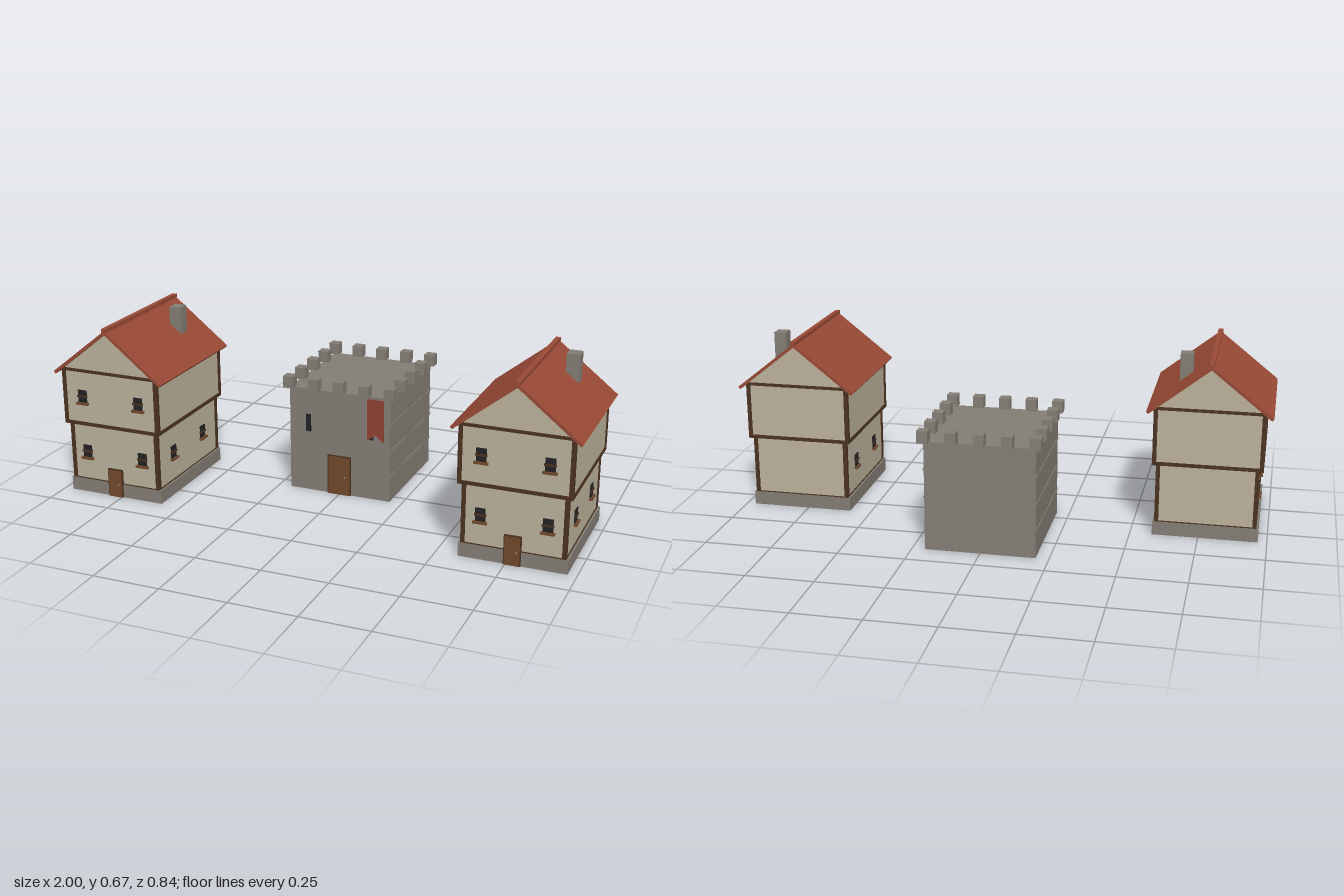
import * as THREE from 'three';

const mat = (name, color) => {
  const m = new THREE.MeshStandardMaterial({ color });
  m.name = name;
  return m;
};

export function createModel() {
  const plaster = mat('plaster', 0xbab09a);
  const timber = mat('darkTimber', 0x4a3220);
  const wood = mat('doorWood', 0x70482a);
  const stone = mat('stone', 0x827d74);
  const tiles = mat('redTiles', 0x984935);
  const dark = mat('darkOpening', 0x222224);
  const banner = mat('bannerRed', 0x8e4030);
  banner.side = THREE.DoubleSide;

  const add = (parent, name, geo, material, x = 0, y = 0, z = 0) => {
    const m = new THREE.Mesh(geo, material);
    m.name = name;
    m.position.set(x, y, z);
    parent.add(m);
    return m;
  };
  // Box given by its centre in x and z and its bottom in y
  const box = (parent, name, material, w, h, d, x, y, z) =>
    add(parent, name, new THREE.BoxGeometry(w, h, d), material, x, y + h / 2, z);

  // Window facing +z, standing on y = 0
  const makeWindow = (parent, x, y, z, turn) => {
    const g = new THREE.Group();
    g.name = 'window';
    box(g, 'windowPane', dark, 0.036, 0.05, 0.006, 0, 0, 0.001);
    box(g, 'windowBar', timber, 0.042, 0.007, 0.01, 0, 0.022, 0.002);
    box(g, 'windowSill', wood, 0.05, 0.008, 0.018, 0, -0.006, 0.003);
    g.position.set(x, y, z);
    g.rotation.y = turn;
    parent.add(g);
  };

  const makeDoor = (parent, w, h, z) => {
    box(parent, 'doorFrame', timber, w, h, 0.008, 0, 0, z);
    box(parent, 'door', wood, w - 0.008, h - 0.004, 0.012, 0, 0, z);
    add(parent, 'doorKnob', new THREE.SphereGeometry(0.004, 8, 6), stone, w * 0.25, h * 0.46, z + 0.008);
  };

  // Plastered storey with corner posts and beams top and bottom
  const makeStorey = (parent, name, hx, hz, y0, y1, beam) => {
    const g = new THREE.Group();
    g.name = name;
    box(g, 'wall', plaster, 2 * hx - 0.008, y1 - y0, 2 * hz - 0.008, 0, y0, 0);
    for (const sx of [-1, 1])
      for (const sz of [-1, 1])
        box(g, 'cornerPost', timber, 0.015, y1 - y0, 0.016, sx * (hx - 0.0075), y0, sz * (hz - 0.008));
    for (const [y, h] of beam) {
      for (const s of [-1, 1]) {
        box(g, 'crossBeam', timber, 2 * hx, h, 0.012, 0, y, s * (hz - 0.006));
        box(g, 'sideBeam', timber, 0.012, h, 2 * hz, s * (hx - 0.006), y, 0);
      }
    }
    parent.add(g);
  };

  const makeHouse = (x) => {
    const g = new THREE.Group();
    g.name = 'house';
    box(g, 'stoneBase', stone, 0.386, 0.052, 0.482, 0, 0, 0);
    makeStorey(g, 'lowerStorey', 0.186, 0.24, 0.05, 0.28, [[0.048, 0.007]]);
    makeStorey(g, 'upperStorey', 0.2, 0.252, 0.274, 0.492, [[0.274, 0.013], [0.484, 0.011]]);

    // Gable wall running through the loft
    const gable = new THREE.Shape();
    gable.moveTo(-0.195, 0.49);
    gable.lineTo(0.195, 0.49);
    gable.lineTo(0, 0.648);
    const gableGeo = new THREE.ExtrudeGeometry(gable, { depth: 0.496, bevelEnabled: false });
    add(g, 'gable', gableGeo, plaster, 0, 0, -0.248);

    // Two roof slabs and the ridge cap
    for (const s of [-1, 1]) {
      const slope = new THREE.Shape();
      slope.moveTo(0, 0.659);
      slope.lineTo(s * 0.226, 0.48);
      slope.lineTo(s * 0.219, 0.471);
      slope.lineTo(0, 0.645);
      add(g, 'roofSlope', new THREE.ExtrudeGeometry(slope, { depth: 0.532, bevelEnabled: false }), tiles, 0, 0, -0.266);
    }
    box(g, 'ridgeCap', tiles, 0.018, 0.014, 0.536, 0, 0.653, 0);
    box(g, 'chimney', stone, 0.047, 0.13, 0.048, 0.097, 0.537, -0.114);

    // Door and windows
    makeDoor(g, 0.062, 0.11, 0.241);
    for (const s of [-1, 1]) {
      makeWindow(g, s * 0.118, 0.14, 0.236, 0);
      makeWindow(g, s * 0.118, 0.363, 0.248, 0);
      for (const z of [0.118, -0.115]) makeWindow(g, s * 0.182, 0.14, z, s * Math.PI / 2);
    }
    g.position.set(x, 0, 0.15);
    return g;
  };

  const makeTower = () => {
    const g = new THREE.Group();
    g.name = 'tower';
    const hx = 0.202, hz = 0.224;
    box(g, 'towerBody', stone, 2 * hx, 0.408, 2 * hz, 0, 0, 0);
    // Thin stone courses on the sides and back
    for (const y of [0.1, 0.2, 0.302]) box(g, 'stoneCourse', stone, 2 * hx + 0.006, 0.005, 2 * hz, 0, y, -0.003);
    // Battlements round the edge
    for (let i = 0; i < 5; i++)
      for (let j = 0; j < 5; j++)
        if (i % 4 === 0 || j % 4 === 0)
          box(g, 'merlon', stone, 0.04, 0.045, 0.04, (i / 2 - 1) * hx, 0.407, (j / 2 - 1) * hz);
    for (const s of [-1, 1]) box(g, 'arrowSlit', dark, 0.02, 0.068, 0.008, s * 0.126, 0.239, hz);
    makeDoor(g, 0.094, 0.156, hz + 0.002);

    // Swallow-tailed banner
    const cloth = new THREE.Shape();
    [[-0.033, 0.4], [-0.033, 0.235], [0, 0.262], [0.033, 0.235], [0.033, 0.4]].forEach(([x, y], i) =>
      i ? cloth.lineTo(x, y) : cloth.moveTo(x, y));
    add(g, 'banner', new THREE.ExtrudeGeometry(cloth, { depth: 0.004, bevelEnabled: false }), banner, 0.146, 0, hz + 0.005);
    g.position.z = -0.174;
    return g;
  };

  const model = new THREE.Group();
  model.name = 'village';
  model.add(makeHouse(-0.774), makeTower(), makeHouse(0.774));
  return model;
}
